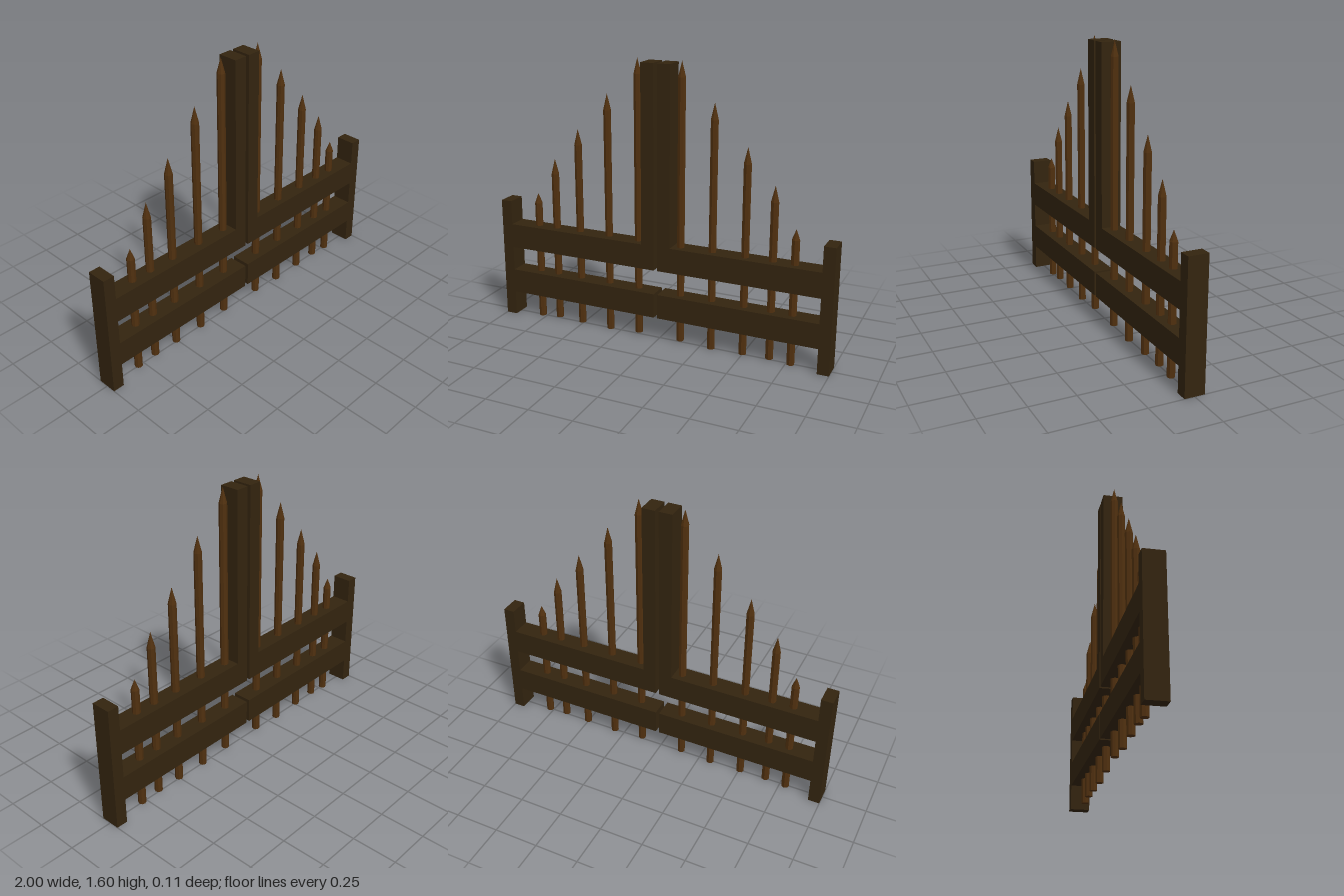
import * as THREE from 'three';

export function createModel() {
  const gate = new THREE.Group();
  gate.name = 'picketGate';

  const frameWood = new THREE.MeshStandardMaterial({ color: 0x33240f });
  frameWood.name = 'dark frame wood';
  const picketWood = new THREE.MeshStandardMaterial({ color: 0x50300f, flatShading: true });
  picketWood.name = 'brown picket wood';

  const depth = 0.112;

  // Square beam between two x and two y limits
  function beam(parent, name, x0, x1, y0, y1) {
    const mesh = new THREE.Mesh(new THREE.BoxGeometry(Math.abs(x1 - x0), y1 - y0, depth), frameWood);
    mesh.position.set((x0 + x1) / 2, (y0 + y1) / 2, 0);
    mesh.name = name;
    parent.add(mesh);
  }

  // Round stake with a sharpened top
  function picket(parent, x, z, bottom, shoulder, tip) {
    const r = 0.022;
    const profile = [[0, bottom], [r, bottom], [r, shoulder], [0, tip]]
      .map(([px, py]) => new THREE.Vector2(px, py));
    const mesh = new THREE.Mesh(new THREE.LatheGeometry(profile, 8), picketWood);
    mesh.position.set(x, 0, z);
    mesh.name = 'picket';
    parent.add(mesh);
  }

  // Bottom, shoulder and tip heights, from the outer picket to the inner one
  const heights = [
    [0, 0.71, 0.768],
    [0.01, 0.9, 0.987],
    [0.005, 1.085, 1.175],
    [0, 1.3, 1.39],
    [0.013, 1.51, 1.595],
  ];

  // The two leaves differ slightly in spacing
  const leaves = [
    { name: 'rightLeaf', side: -1, inner: 0.013, z: -0.003, xs: [0.782, 0.662, 0.507, 0.319, 0.133] },
    { name: 'leftLeaf', side: 1, inner: 0.008, z: 0.003, xs: [0.775, 0.655, 0.501, 0.314, 0.128] },
  ];

  for (const { name, side, inner, z, xs } of leaves) {
    const leaf = new THREE.Group();
    leaf.name = name;
    beam(leaf, 'endPost', side, side * 0.935, 0, 0.715);
    beam(leaf, 'lowerRail', side * 0.935, side * inner, 0.145, 0.287);
    beam(leaf, 'upperRail', side * 0.935, side * inner, 0.43, 0.573);
    beam(leaf, 'meetingPost', side * (inner + 0.075), side * inner, 0.573, 1.58);
    xs.forEach((x, i) => picket(leaf, side * x, z, ...heights[i]));
    gate.add(leaf);
  }

  return gate;
}
